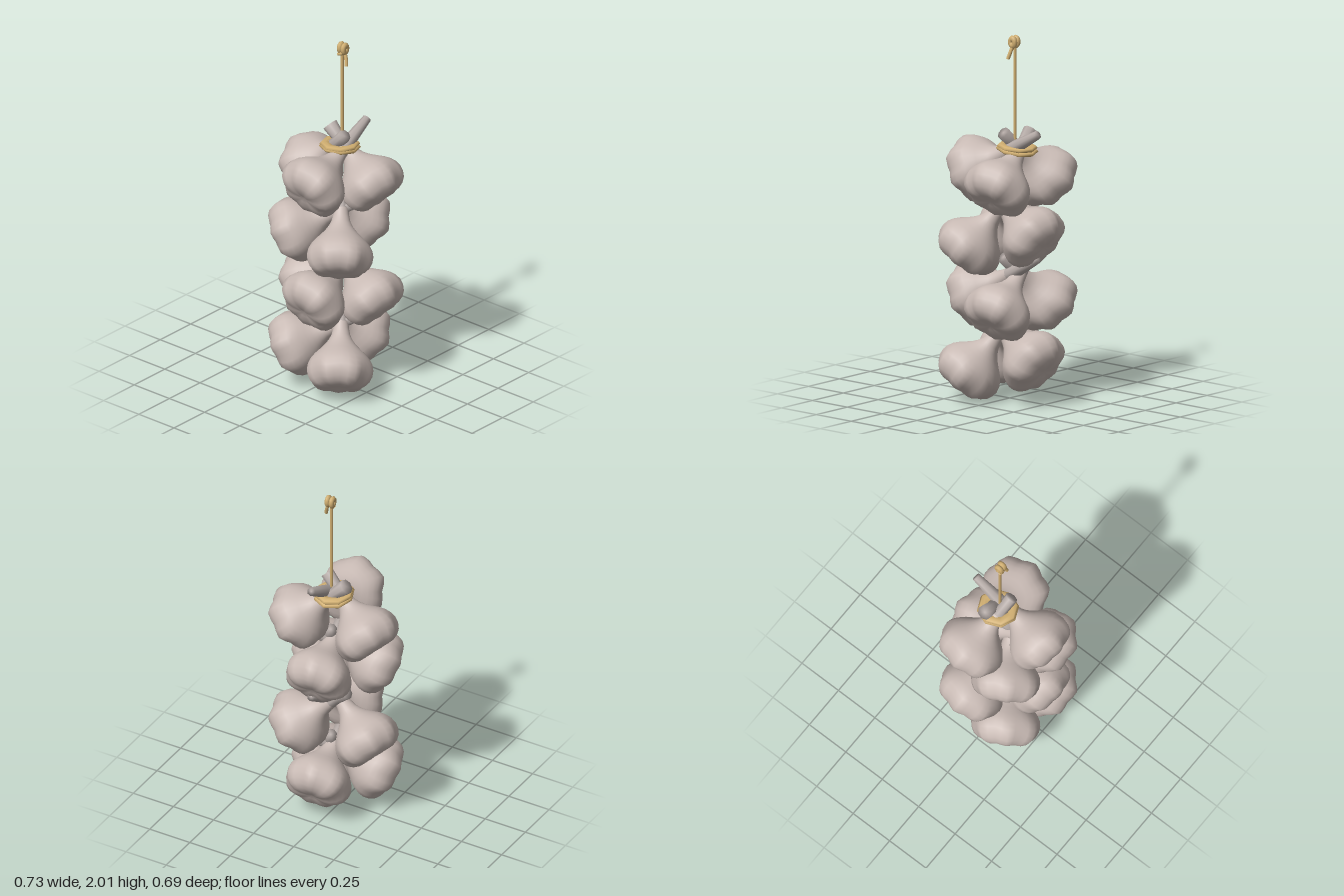
import * as THREE from 'three';
import { mergeVertices } from 'three/addons/utils/BufferGeometryUtils.js';

const garlic = new THREE.MeshStandardMaterial({ color: 0xc8bab4 });
garlic.name = 'garlicSkin';
const stalk = new THREE.MeshStandardMaterial({ color: 0xb4aaa6 });
stalk.name = 'driedStalk';
const twine = new THREE.MeshStandardMaterial({ color: 0xd2b072 });
twine.name = 'twine';

const V = (a) => new THREE.Vector3(...a);
const UP = new THREE.Vector3(0, 1, 0);

// Bulb: a turned profile swollen into soft cloves, with its neck along +y
function bulbGeometry(lobes = 7) {
  const profile = [[0, -0.108], [0.055, -0.118], [0.112, -0.114], [0.156, -0.084], [0.178, -0.035],
    [0.174, 0.016], [0.148, 0.06], [0.107, 0.1], [0.07, 0.14], [0.047, 0.188], [0.038, 0.25]];
  const curve = new THREE.SplineCurve(profile.map((p) => new THREE.Vector2(...p)));
  const pts = curve.getPoints(16);
  pts[0].x = 0;
  let geo = new THREE.LatheGeometry(pts, 28);
  geo.deleteAttribute('uv');
  geo.deleteAttribute('normal');
  const pos = geo.attributes.position;
  for (let i = 0; i < pos.count; i++) {
    const x = pos.getX(i), y = pos.getY(i), z = pos.getZ(i);
    const a = Math.atan2(z, x);
    const fade = THREE.MathUtils.clamp((0.18 - y) / 0.2, 0, 1);
    const clove = Math.cos(a * lobes);
    const outward = Math.min(1, Math.hypot(x, z) / 0.15) ** 2;
    const k = 1 + fade * outward * (0.045 * clove + 0.025 * Math.sin(2 * a + 1));
    pos.setXYZ(i, x * k, y - 0.006 * fade * outward * clove, z * k);
  }
  geo = mergeVertices(geo, 1e-5);
  geo.computeVertexNormals();
  return geo;
}

// Each bulb: centre, stalk tip, stalk tip radius
const cluster = [
  ['frontBulb', [0.045, 1.245, 0.18], [0.045, 1.48, -0.24], 0.024],
  ['rightBulb', [-0.19, 1.203, -0.073], [0.075, 1.465, -0.02], 0.036],
  ['leftBulb', [0.19, 1.203, -0.095], [-0.08, 1.462, -0.08], 0.042],
  ['lowerRightBulb', [-0.137, 0.9, 0.115], [0.15, 1.09, -0.06], 0.034],
  ['lowerLeftBulb', [0.17, 0.848, 0.127], [0.04, 1.12, -0.04], 0.034],
  ['lowerBackBulb', [0.03, 0.922, -0.177], [0.05, 1.1, 0.08], 0.034],
];

function makeBulb(geo, [name, centre, tip, tipRadius], turn) {
  const g = new THREE.Group();
  g.name = name;
  const c = V(centre), axis = V(tip).sub(c), len = axis.length();
  g.position.copy(c);
  g.quaternion.setFromUnitVectors(UP, axis.normalize());
  const body = new THREE.Mesh(geo, garlic);
  body.name = 'cloves';
  body.rotation.y = turn;
  // Stalk continues the neck to its cut end
  const stemLen = len - 0.18;
  const outline = [[0.042, 0], [0.034, stemLen * 0.55], [tipRadius, stemLen], [0, stemLen]];
  const stem = new THREE.Mesh(
    new THREE.LatheGeometry(outline.map((p) => new THREE.Vector2(...p)), 8), stalk);
  stem.name = 'stalk';
  stem.position.y = 0.18;
  g.add(body, stem);
  return g;
}

function rope(name, points, radius) {
  const curve = new THREE.CatmullRomCurve3(points.map(V));
  const mesh = new THREE.Mesh(new THREE.TubeGeometry(curve, 12, radius, 8), twine);
  mesh.name = name;
  return mesh;
}

export function createModel() {
  const model = new THREE.Group();
  model.name = 'garlicString';

  // Two identical clusters, one above the other
  const geo = bulbGeometry();
  [0, -0.683].forEach((dy, i) => {
    const half = new THREE.Group();
    half.name = i ? 'lowerCluster' : 'upperCluster';
    half.position.y = dy;
    cluster.forEach((b, j) => half.add(makeBulb(geo, b, -Math.PI / 2 + j * 0.3)));
    model.add(half);
  });

  // Flattened twine wraps around the top stalks
  [[1.368, 0.082, -0.13], [1.384, 0.078, -0.07]].forEach(([y, r, tilt], i) => {
    const ring = new THREE.TorusGeometry(r, 0.028, 8, 8).rotateX(Math.PI / 2);
    ring.scale(1, 0.5, 1.08).rotateX(tilt);
    const wrap = new THREE.Mesh(ring, twine);
    wrap.name = 'twineWrap' + (i + 1);
    wrap.position.set(0.008, y, -0.06);
    model.add(wrap);
  });

  // Hanging cord, tied from the wrap to the knot
  model.add(rope('hangingCord', [[0.025, 1.37, -0.06], [0.025, 1.65, -0.06], [0.025, 1.95, -0.06]], 0.009));
  for (const x of [0.018, 0.044]) {
    const loop = new THREE.Mesh(new THREE.TorusGeometry(0.0145, 0.0144, 8, 16), twine);
    loop.name = 'knotLoop';
    loop.scale.y = 1.28;
    loop.rotation.y = Math.PI / 2;
    loop.position.set(x, 1.963, -0.06);
    model.add(loop);
  }
  model.add(rope('knotBand', [[0.008, 1.925, -0.05], [0.03, 1.935, -0.045], [0.05, 1.95, -0.055]], 0.01));
  model.add(rope('knotTail', [[0.04, 1.95, -0.06], [0.056, 1.91, -0.055], [0.066, 1.872, -0.045]], 0.01));
  return model;
}
